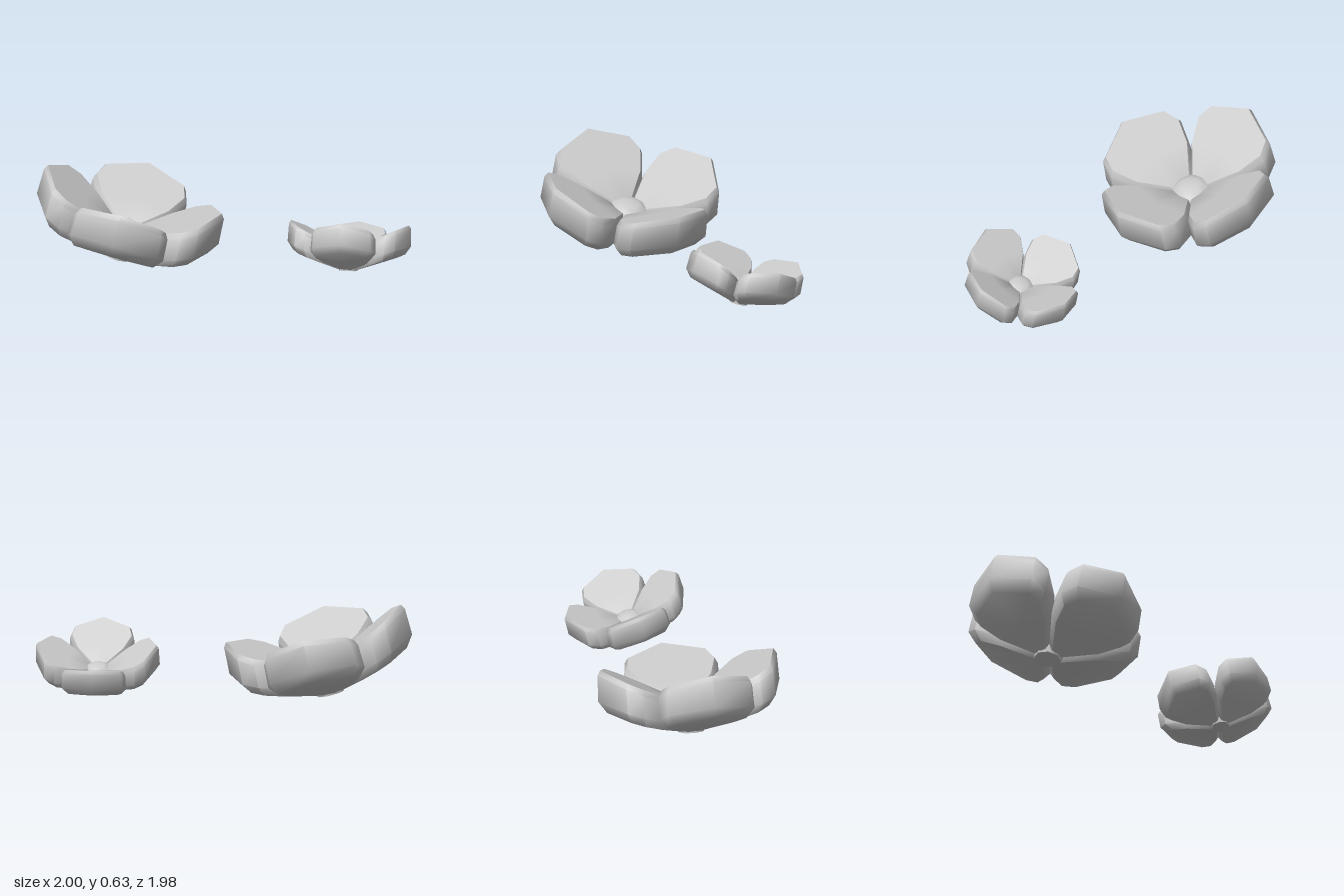
import * as THREE from 'three';
import { toCreasedNormals } from 'three/addons/utils/BufferGeometryUtils.js';

const material = new THREE.MeshStandardMaterial({ color: 0xcccccc });

// Half outline of a petal, seen from above: [along, across]
const HALF = [[0.61, 0], [0.5, 0.28], [0.4, 0.315], [0.25, 0.24], [0.05, 0.05]];
const OUTLINE = [...HALF, ...HALF.slice(1).reverse().map(([u, v]) => [u, -v])];
const MIDDLE = 0.3;

// Rings from the underside to the upper face: outline scale, height and slope
const RINGS = [
  { scale: 0.86, height: -0.02, slope: 0.37 },
  { scale: 1.04, height: 0.04, slope: 0.37 },
  { scale: 1.02, height: 0.14, slope: 0.5 },
  { scale: 0.95, height: 0.183, slope: 0.5 },
];

// Thick petal: bevelled slab sloping up and outwards along +x
function petalGeometry() {
  const n = OUTLINE.length;
  const positions = [];
  const index = [];
  for (const { scale, height, slope } of RINGS) {
    for (const [u, v] of OUTLINE) {
      const x = MIDDLE + (u - MIDDLE) * scale;
      positions.push(x, Math.max(0, height + slope * x), v * scale);
    }
  }
  const last = RINGS.length - 1;
  const bottom = n * RINGS.length;
  const top = bottom + 1;
  for (const r of [RINGS[0], RINGS[last]]) positions.push(MIDDLE, r.height + r.slope * MIDDLE, 0);

  for (let i = 0; i < n; i++) {
    const j = (i + 1) % n;
    for (let k = 0; k < last; k++) {
      const a = k * n + i, b = k * n + j;
      index.push(a, a + n, b, b, a + n, b + n);
    }
    index.push(bottom, i, j, top, last * n + j, last * n + i);
  }
  const geometry = new THREE.BufferGeometry();
  geometry.setAttribute('position', new THREE.Float32BufferAttribute(positions, 3));
  geometry.setIndex(index);
  return toCreasedNormals(geometry, 0.9);
}

function addMesh(parent, name, geometry) {
  const mesh = new THREE.Mesh(geometry, material);
  mesh.name = name;
  parent.add(mesh);
  return mesh;
}

// Flower with four petals, its axis leaning along the given direction
function createFlower(name, scale, position, axis) {
  const flower = new THREE.Group();
  flower.name = name;

  const petal = petalGeometry();
  for (let i = 0; i < 4; i++) {
    addMesh(flower, 'petal', petal).rotation.y = Math.PI / 4 + i * Math.PI / 2;
  }

  // Faceted base below, domed button in the middle
  addMesh(flower, 'base', new THREE.CylinderGeometry(0.13, 0.09, 0.19, 8)).position.y = 0.095;
  const button = addMesh(flower, 'centre',
    new THREE.SphereGeometry(0.135, 8, 3, 0, Math.PI * 2, 0, Math.PI / 2));
  button.scale.y = 0.45;
  button.position.y = 0.2;

  flower.scale.setScalar(scale);
  flower.position.set(...position);
  flower.quaternion.setFromUnitVectors(new THREE.Vector3(0, 1, 0), new THREE.Vector3(...axis).normalize());
  return flower;
}

export function createModel() {
  const model = new THREE.Group();
  model.name = 'flowers';
  model.add(
    createFlower('largeFlower', 1, [-0.475, 0.022, 0.475], [0.17, 1, -0.17]),
    createFlower('smallFlower', 0.66, [0.66, 0.018, -0.57], [-0.2, 1, -0.2]),
  );
  return model;
}
